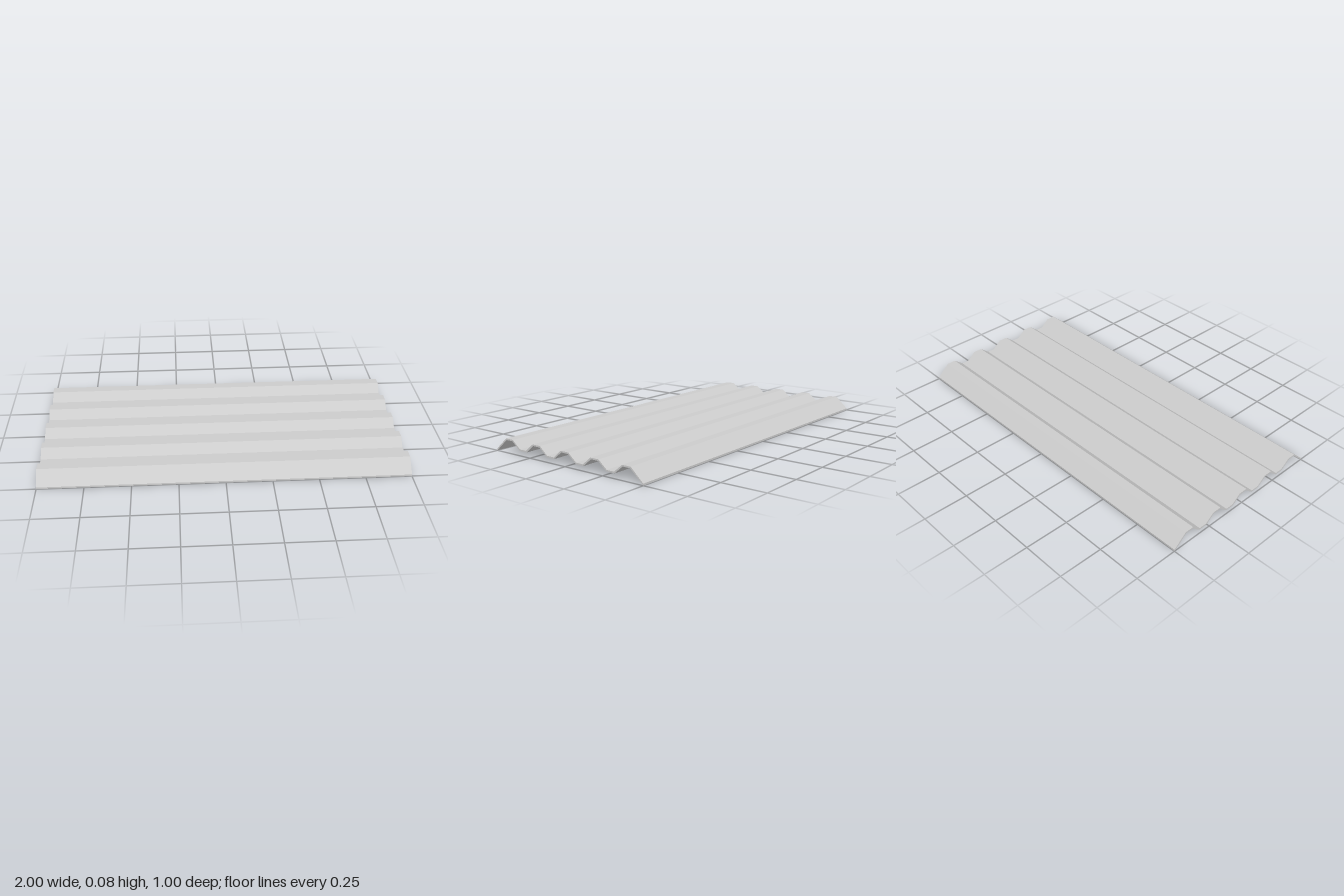
import * as THREE from 'three';

const LENGTH = 2;
const HALF_WIDTH = 0.5;
const PITCH = 0.2;

// One face of the sheet, from one edge to the other, as (z, y) points.
function corrugation(ridgeY, valleyY, edgeY, ridgeHalf, valleyHalf) {
  const points = [new THREE.Vector2(-HALF_WIDTH, edgeY)];
  for (let i = -2; i <= 2; i++) {
    const ridge = i * PITCH;
    points.push(new THREE.Vector2(ridge - ridgeHalf, ridgeY), new THREE.Vector2(ridge + ridgeHalf, ridgeY));
    if (i < 2) {
      const valley = ridge + PITCH / 2;
      points.push(new THREE.Vector2(valley - valleyHalf, valleyY), new THREE.Vector2(valley + valleyHalf, valleyY));
    }
  }
  points.push(new THREE.Vector2(HALF_WIDTH, edgeY));
  return points;
}

export function createModel() {
  const group = new THREE.Group();
  group.name = 'corrugatedRoofPanel';

  // Thin folded cross-section: underside out, upper face back
  const underside = corrugation(0.068, 0.026, 0, 0.023, 0.026);
  const upper = corrugation(0.076, 0.034, 0.01, 0.026, 0.023);
  const section = new THREE.Shape([...underside, ...upper.reverse()]);

  // Sheet runs lengthwise along x
  const geometry = new THREE.ExtrudeGeometry(section, { depth: LENGTH, bevelEnabled: false });
  geometry.translate(0, 0, -LENGTH / 2);
  geometry.rotateY(-Math.PI / 2);

  const sheet = new THREE.Mesh(
    geometry,
    new THREE.MeshStandardMaterial({ color: 0xcccccc, flatShading: true })
  );
  sheet.name = 'corrugatedSheet';
  group.add(sheet);
  return group;
}
